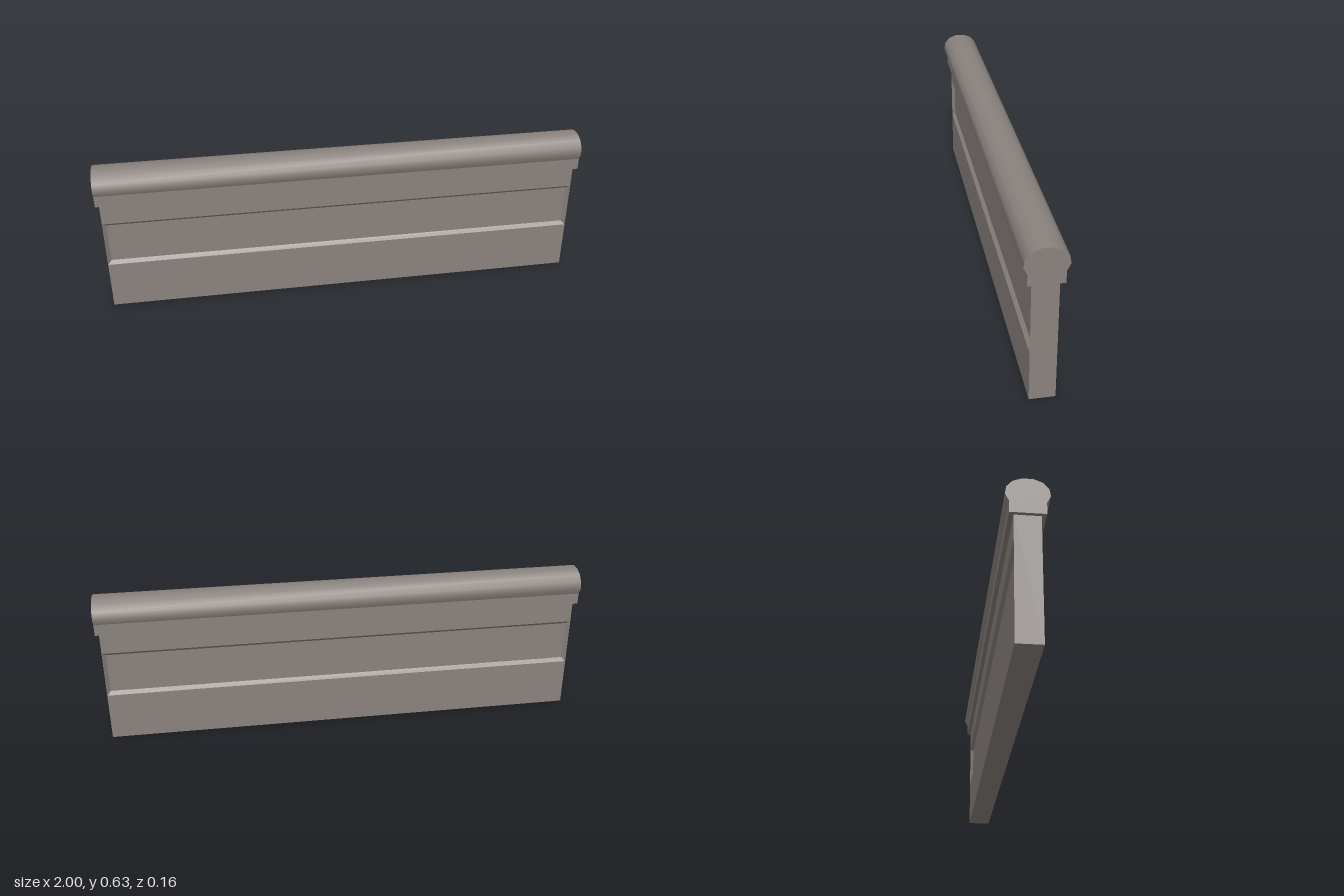
import * as THREE from 'three';
import { toCreasedNormals } from 'three/addons/utils/BufferGeometryUtils.js';

const stone = new THREE.MeshStandardMaterial({ name: 'warmGreyStone', color: 0x8a827d });

// Rectangle in the XY plane at depth z, anticlockwise seen from +z
const rect = (halfX, y0, y1, z) => [
  [-halfX, y0, z], [halfX, y0, z], [halfX, y1, z], [-halfX, y1, z],
];

// Join four-cornered rings with flat quads and close both ends
function loftRings(rings) {
  const pos = [];
  const quad = (a, b, c, d) => pos.push(...a, ...b, ...c, ...a, ...c, ...d);
  for (let i = 0; i < rings.length - 1; i++) {
    for (let j = 0; j < 4; j++) {
      const k = (j + 1) % 4;
      quad(rings[i][j], rings[i][k], rings[i + 1][k], rings[i + 1][j]);
    }
  }
  quad(...rings[rings.length - 1]);
  quad(...[...rings[0]].reverse());
  const geo = new THREE.BufferGeometry();
  geo.setAttribute('position', new THREE.Float32BufferAttribute(pos, 3));
  geo.computeVertexNormals();
  return geo;
}

export function createModel() {
  const model = new THREE.Group();
  model.name = 'parapetWall';
  const add = (name, geo) => {
    const mesh = new THREE.Mesh(geo, stone);
    mesh.name = name;
    model.add(mesh);
  };

  // Wall slab with a bevelled sunken panel on front and back
  const half = 0.048, bevel = 0.014;
  const side = (s) => [
    rect(0.986, 0, 0.488, s * half),
    rect(0.985, 0.202, 0.397, s * half),
    rect(0.985 - bevel, 0.202 + bevel, 0.397 - bevel, s * (half - bevel)),
  ];
  add('wallSlab', loftRings([...side(-1).reverse(), ...side(1)]));

  // Square neck under the rail
  const neck = new THREE.BoxGeometry(2, 0.047, 0.13);
  neck.translate(0, 0.5115, 0);
  add('railNeck', neck);

  // Rounded top rail, a mirrored half profile run along x
  const profile = [[0.065, 0.535], [0.079, 0.562], [0.074, 0.592], [0.053, 0.616], [0.02, 0.629]];
  const points = [...profile, ...profile.map(([z, y]) => [-z, y]).reverse()];
  const shape = new THREE.Shape(points.map(([z, y]) => new THREE.Vector2(z, y)));
  const rail = new THREE.ExtrudeGeometry(shape, { depth: 2, bevelEnabled: false });
  rail.translate(0, 0, -1);
  rail.rotateY(Math.PI / 2);
  add('roundedRail', toCreasedNormals(rail, 0.75));

  return model;
}
